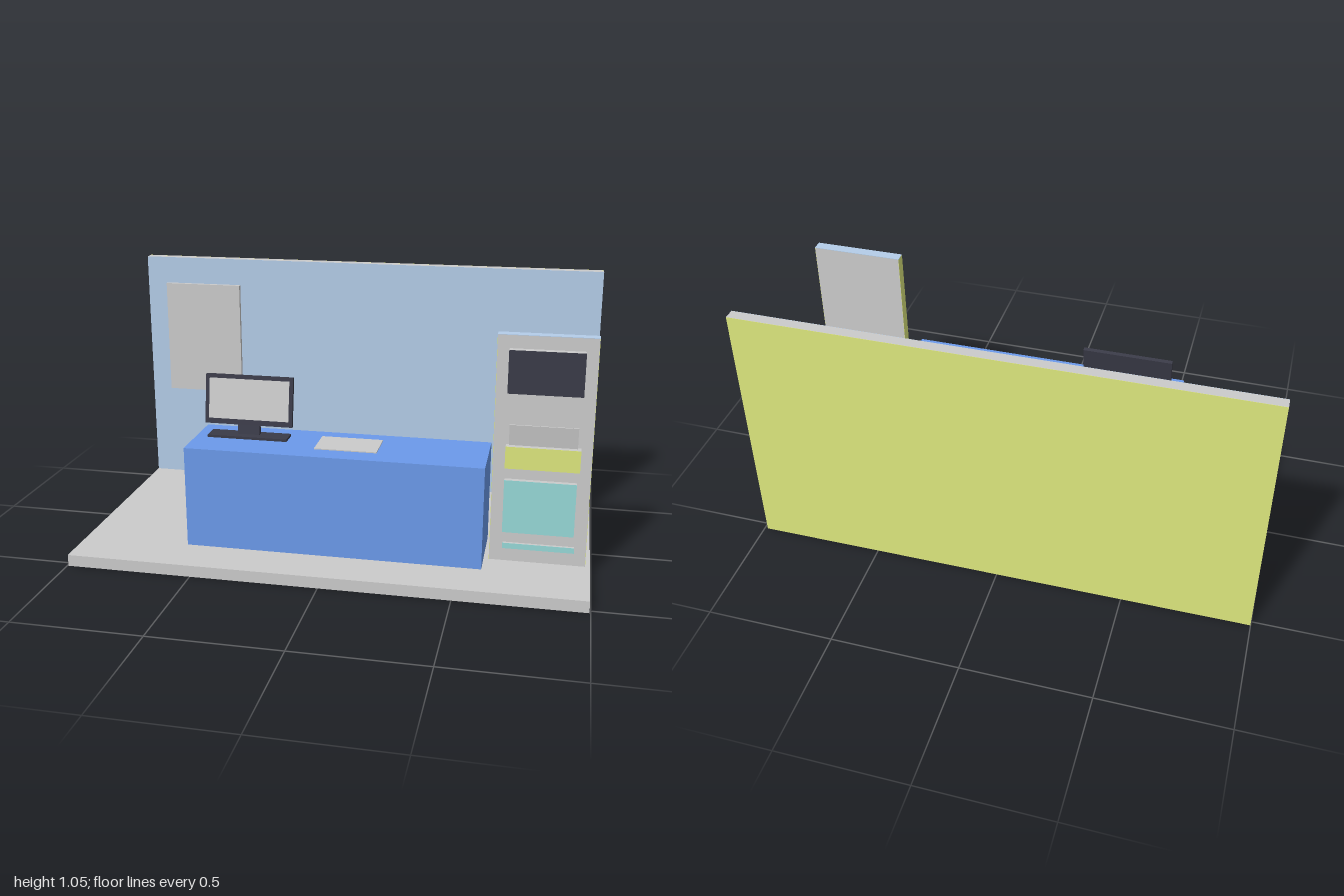
import * as THREE from 'three';

const mat = (color) => new THREE.MeshStandardMaterial({ color });
const grey = mat(0xcccccc);
const blue = mat(0x6b9aeb);
const paleBlue = mat(0xb4cde9);
const lime = mat(0xdee87e);
const teal = mat(0x97d9d8);
const dark = mat(0x3a3b48);

// Box given by its extents on each axis
function box(parent, name, [x0, x1], [y0, y1], [z0, z1], material) {
  const mesh = new THREE.Mesh(new THREE.BoxGeometry(x1 - x0, y1 - y0, z1 - z0), material);
  mesh.position.set((x0 + x1) / 2, (y0 + y1) / 2, (z0 + z1) / 2);
  mesh.name = name;
  parent.add(mesh);
  return mesh;
}

function group(parent, name) {
  const g = new THREE.Group();
  g.name = name;
  parent.add(g);
  return g;
}

// Grey box with a thin coloured front
function facedBox(parent, name, x, y, [z0, z1], material) {
  const g = group(parent, name);
  const skin = 0.001;
  box(g, name + 'Body', x, y, [z0, z1 - skin], grey);
  box(g, name + 'Front', x, y, [z1 - skin, z1], material);
}

export function createModel() {
  const model = new THREE.Group();
  model.name = 'exhibitionBooth';
  const booth = group(model, 'booth');
  booth.rotation.y = 0.0045;

  // Floor and back wall, the wall with painted faces
  box(booth, 'floor', [-0.997, 0.993], [0, 0.046], [-0.48, 0.522], grey);
  const wall = group(booth, 'backWall');
  box(wall, 'wallCore', [-0.997, 0.99], [0, 1.05], [-0.522, -0.48], grey);
  box(wall, 'wallFront', [-0.997, 0.99], [0.046, 1.05], [-0.48, -0.479], paleBlue);
  box(wall, 'wallBack', [-0.997, 0.99], [0, 1.05], [-0.523, -0.522], lime);
  box(booth, 'poster', [-0.908, -0.572], [0.45, 0.936], [-0.479, -0.462], grey);

  // Counter with a sheet lying on it
  box(booth, 'counter', [-0.572, 0.59], [0.046, 0.451], [0.028, 0.333], blue);
  box(booth, 'counterSheet', [-0.075, 0.17], [0.451, 0.455], [0.095, 0.246], grey);

  // Monitor: foot, slanted neck, tilted screen
  const monitor = group(booth, 'monitor');
  box(monitor, 'monitorFoot', [-0.523, -0.2], [0.451, 0.461], [0.11, 0.184], dark);
  const side = new THREE.Shape([
    [0.15, 0.461], [0.125, 0.461], [0.125, 0.525], [0.136, 0.525],
  ].map(([z, y]) => new THREE.Vector2(-z, y)));
  const neck = new THREE.Mesh(new THREE.ExtrudeGeometry(side, { depth: 0.088, bevelEnabled: false }), dark);
  neck.rotation.y = Math.PI / 2;
  neck.position.x = -0.408;
  neck.name = 'monitorNeck';
  monitor.add(neck);
  const display = group(monitor, 'monitorDisplay');
  display.position.set(-0.363, 0.597, 0.129);
  display.rotation.x = -0.175;
  box(display, 'displayCase', [-0.178, 0.178], [-0.099, 0.099], [-0.008, 0.008], dark);
  box(display, 'displayScreen', [-0.163, 0.163], [-0.078, 0.083], [0.008, 0.0085], grey);

  // Information stand with lime sides and a pale blue top
  const stand = group(booth, 'infoStand');
  box(stand, 'standPanel', [0.611, 0.974], [0.046, 0.934], [0.19, 0.231], grey);
  for (const x of [0.61, 0.974]) box(stand, 'standSide', [x, x + 0.001], [0.046, 0.934], [0.19, 0.231], lime);
  box(stand, 'standTop', [0.61, 0.975], [0.934, 0.936], [0.19, 0.231], paleBlue);
  facedBox(stand, 'standScreen', [0.655, 0.93], [0.721, 0.885], [0.231, 0.26], dark);
  facedBox(stand, 'leafletTray', [0.657, 0.933], [0.432, 0.518], [0.231, 0.264], lime);
  facedBox(stand, 'infoPanel', [0.657, 0.925], [0.171, 0.381], [0.231, 0.252], teal);
  facedBox(stand, 'footStrip', [0.66, 0.93], [0.101, 0.123], [0.231, 0.243], teal);

  // Leaflet leaning out of the tray
  const leaflet = box(stand, 'leaflet', [0.668, 0.92], [0.47, 0.6], [0.239, 0.243], grey);
  leaflet.rotation.x = 0.12;

  return model;
}
